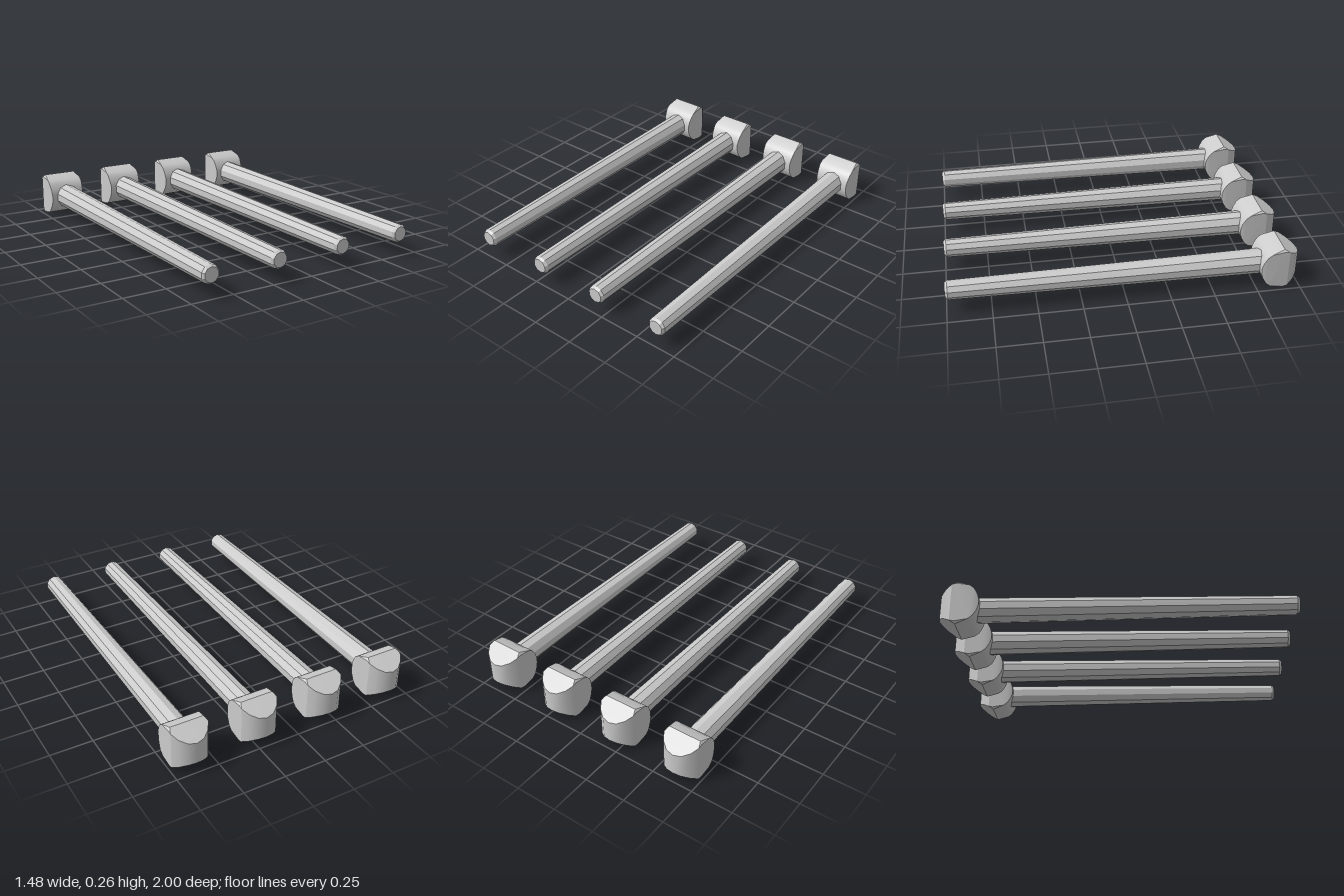
import * as THREE from 'three';
import { ConvexGeometry } from 'three/addons/geometries/ConvexGeometry.js';
import { toCreasedNormals } from 'three/addons/utils/BufferGeometryUtils.js';

// Head corners as [x, y, z]; each is mirrored in x and y.
const headCorners = [
  // rounded striking face, running back to the flat cheeks
  [0, 0.065, -1], [0.045, 0.071, -0.99], [0.085, 0.089, -0.96], [0.11, 0.111, -0.921],
  // top ridge with clipped ends
  [0.098, 0.13, -0.89], [0.11, 0.117, -0.895],
  // slope to the bulging face around the shaft
  [0.11, 0.105, -0.82], [0.11, 0.085, -0.795], [0.107, 0.05, -0.775], [0.105, 0.02, -0.766],
];

function headGeometry() {
  const points = [];
  for (const [x, y, z] of headCorners) {
    for (const sx of x ? [-1, 1] : [1]) {
      for (const sy of [-1, 1]) points.push(new THREE.Vector3(sx * x, sy * y, z));
    }
  }
  return toCreasedNormals(new ConvexGeometry(points), 0.49);
}

// Tapered ten-sided shaft with a bevelled tip, laid along z
function shaftGeometry() {
  const profile = [[0, -0.85], [0.073, -0.85], [0.054, 0.985], [0.043, 1], [0, 1]];
  const geometry = new THREE.LatheGeometry(profile.map(([r, h]) => new THREE.Vector2(r, h)), 10);
  return geometry.rotateX(Math.PI / 2);
}

export function createModel() {
  const model = new THREE.Group();
  model.name = 'pegSet';
  const smooth = new THREE.MeshStandardMaterial({ color: 0xcccccc });
  const faceted = new THREE.MeshStandardMaterial({ color: 0xcccccc, flatShading: true });
  const headGeo = headGeometry();
  const shaftGeo = shaftGeometry();

  // Four identical pegs in a row
  for (const x of [-0.63, -0.21, 0.21, 0.63]) {
    const peg = new THREE.Group();
    peg.name = 'peg';
    const head = new THREE.Mesh(headGeo, smooth);
    head.name = 'head';
    const shaft = new THREE.Mesh(shaftGeo, faceted);
    shaft.name = 'shaft';
    peg.add(head, shaft);
    peg.position.set(x, 0.13, 0);
    model.add(peg);
  }
  return model;
}
